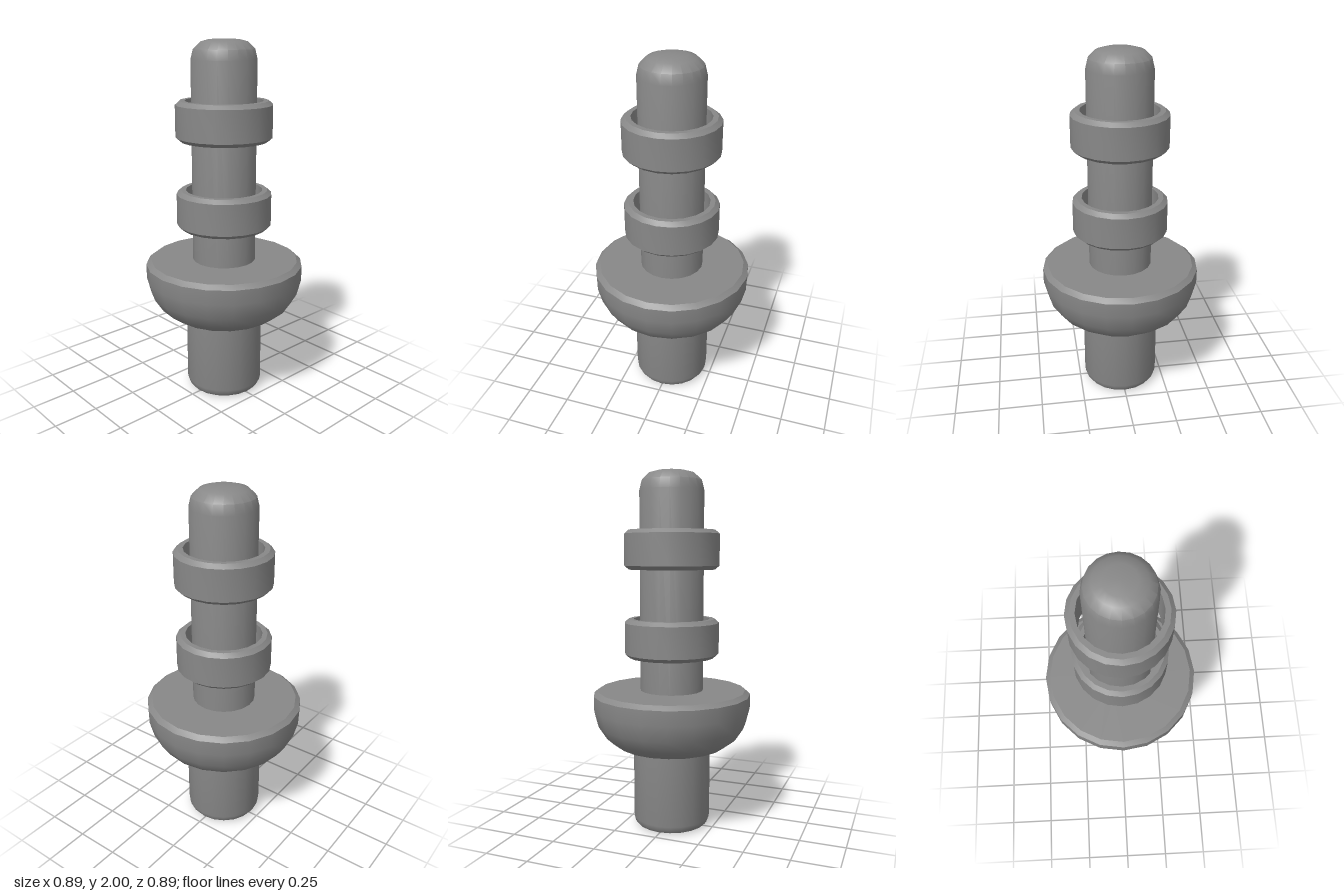
import * as THREE from 'three';
import { toCreasedNormals } from 'three/addons/utils/BufferGeometryUtils.js';

const SIDES = 20;
const material = new THREE.MeshStandardMaterial({ color: 0x888888 });

// Turns a [radius, height] profile around y, keeping hard edges sharp
function turned(name, profile) {
  const points = profile.map(([r, y]) => new THREE.Vector2(r, y));
  const geometry = toCreasedNormals(new THREE.LatheGeometry(points, SIDES), 0.6);
  const mesh = new THREE.Mesh(geometry, material);
  mesh.name = name;
  return mesh;
}

// Hollow collar with chamfered outer rims, standing clear of the shaft
function collar(name, y) {
  const h = 0.216, c = 0.021, outer = 0.265, rim = 0.241, inner = 0.213;
  const mesh = turned(name, [
    [inner, 0], [rim, 0], [outer, c], [outer, h - c], [rim, h], [inner, h], [inner, 0],
  ]);
  mesh.position.y = y;
  return mesh;
}

export function createModel() {
  const model = new THREE.Group();
  model.name = 'turnedPin';

  // Lower stem with a softened foot
  model.add(turned('lowerStem', [
    [0, 0], [0.17, 0], [0.202, 0.01], [0.214, 0.027], [0.219, 0.05], [0.219, 0.48],
  ]));

  // Full, bowl-shaped flange with a flat, chamfered top
  model.add(turned('flange', [
    [0.17, 0.45], [0.235, 0.45], [0.31, 0.473], [0.375, 0.522], [0.422, 0.594],
    [0.445, 0.685], [0.445, 0.766], [0.417, 0.788], [0.15, 0.788],
  ]));

  // Upper shaft with a faceted round tip
  model.add(turned('upperShaft', [
    [0.178, 0.78], [0.178, 1.895], [0.165, 1.948],
    [0.125, 1.986], [0.08, 1.998], [0, 2],
  ]));

  model.add(collar('lowerCollar', 0.977), collar('upperCollar', 1.466));
  return model;
}
